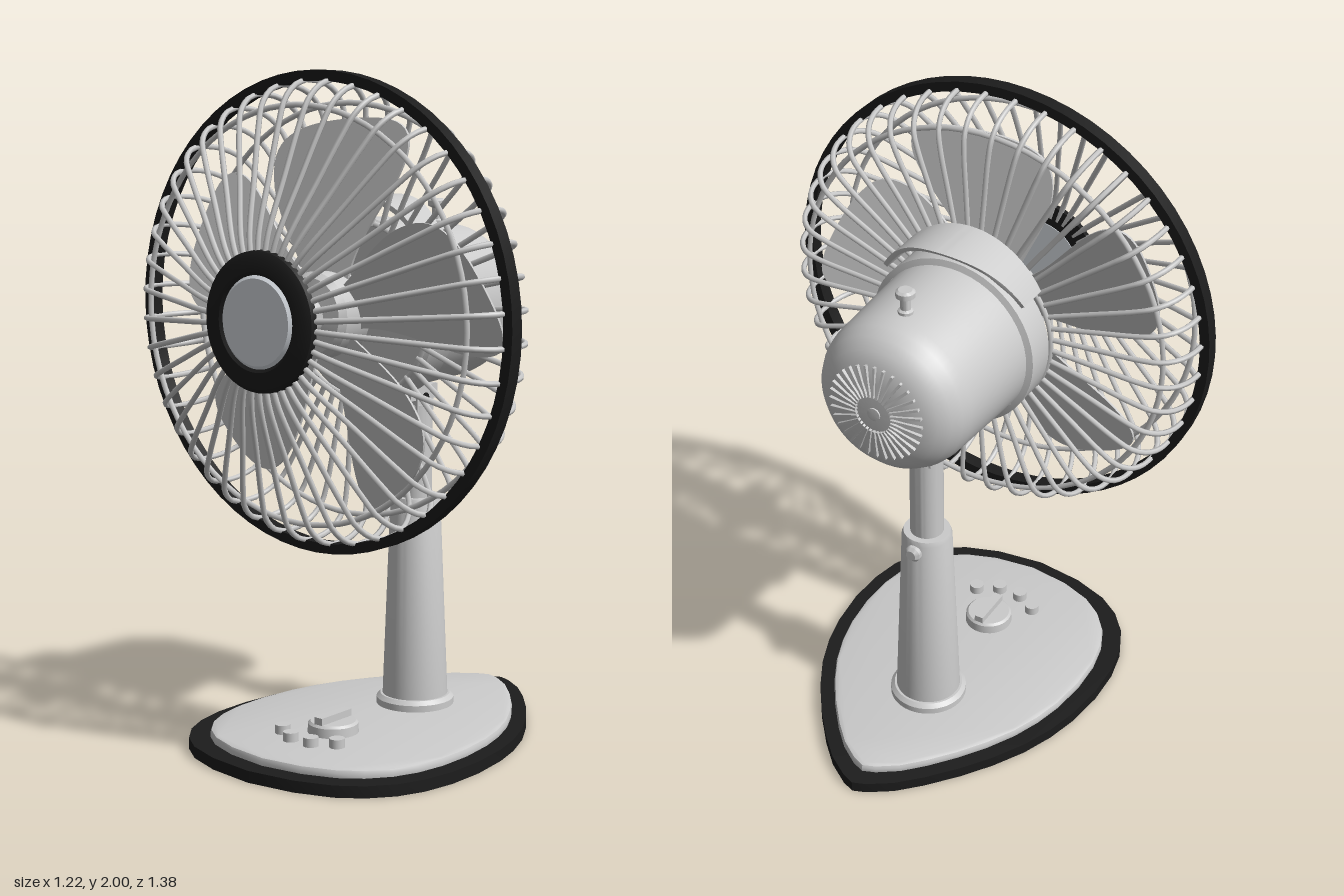
import * as THREE from 'three';
import { toCreasedNormals } from 'three/addons/utils/BufferGeometryUtils.js';

const grey = new THREE.MeshStandardMaterial({ color: 0xcccccc, side: THREE.DoubleSide });
const black = new THREE.MeshStandardMaterial({ color: 0x1c1c1c, side: THREE.DoubleSide });
const silver = new THREE.MeshStandardMaterial({ color: 0xdde2e8, side: THREE.DoubleSide });
const V2 = (p) => new THREE.Vector2(p[0], p[1]);

function add(parent, name, geo, mat = grey, x = 0, y = 0, z = 0) {
  const m = new THREE.Mesh(geo, mat);
  m.name = name;
  m.position.set(x, y, z);
  parent.add(m);
  return m;
}

// Solid of revolution from [radius, height] pairs, bottom to top
const lathe = (pts, seg = 48) => toCreasedNormals(new THREE.LatheGeometry(pts.map(V2), seg), 0.6);
// The same turned to lie along local z
const spin = (pts, seg) => lathe(pts, seg).rotateX(Math.PI / 2);
const extrude = (shape, depth, opts = {}) =>
  toCreasedNormals(new THREE.ExtrudeGeometry(shape, { depth, bevelEnabled: false, curveSegments: 32, ...opts }), 0.5);

function baseShape(sx, sz) {
  const half = [[0.61, 0], [0.595, 0.04], [0.547, 0.112], [0.48, 0.18], [0.39, 0.256], [0.3, 0.32], [0.2, 0.377],
    [0.1, 0.417], [0, 0.443], [-0.13, 0.459], [-0.25, 0.456], [-0.35, 0.436], [-0.43, 0.4], [-0.5, 0.342],
    [-0.55, 0.27], [-0.59, 0.155], [-0.61, 0]];
  const mirrored = half.slice(1, -1).reverse().map(([x, z]) => [x, -z]);
  return new THREE.Shape([...half, ...mirrored].map(([x, z]) => new THREE.Vector2(x * sx, z * sz)));
}

function buildStand(root) {
  const stand = new THREE.Group();
  stand.name = 'stand';
  root.add(stand);
  add(stand, 'baseRim', extrude(baseShape(1, 1), 0.035).rotateX(-Math.PI / 2), black);
  const bevel = { bevelEnabled: true, bevelThickness: 0.012, bevelSize: 0.012, bevelSegments: 2 };
  add(stand, 'baseTop', extrude(baseShape(0.885, 0.855), 0.018, bevel).rotateX(-Math.PI / 2), grey, 0, 0.03);

  // Telescopic column
  add(stand, 'columnFoot', lathe([[0, 0.05], [0.12, 0.05], [0.12, 0.08], [0.108, 0.092], [0, 0.092]]), grey, 0.153);
  add(stand, 'lowerColumn', lathe([[0.101, 0.09], [0.077, 0.7], [0.072, 0.715], [0, 0.715]]), grey, 0.153);
  add(stand, 'upperColumn', lathe([[0.051, 0.7], [0.051, 1.0], [0, 1.0]]), grey, 0.153);
  add(stand, 'heightKnob', lathe([[0.014, 0], [0.014, 0.02], [0.026, 0.025], [0.026, 0.04], [0.016, 0.05], [0, 0.05]], 24)
    .rotateZ(-Math.PI / 2), grey, 0.2, 0.675);

  // Tilting joint under the motor
  add(stand, 'tiltBlock', new THREE.BoxGeometry(0.13, 0.045, 0.066), grey, 0.153, 1.038);
  add(stand, 'tiltFork', new THREE.BoxGeometry(0.08, 0.08, 0.076), grey, 0.153, 1.02);
  add(stand, 'tiltScrew', new THREE.CylinderGeometry(0.014, 0.014, 0.084, 16).rotateX(Math.PI / 2), black, 0.153, 1.023);

  // Dial and buttons
  add(stand, 'dial', lathe([[0, 0.05], [0.077, 0.05], [0.075, 0.088], [0.068, 0.095], [0, 0.095]], 32), grey, -0.238);
  add(stand, 'dialGrip', new THREE.BoxGeometry(0.135, 0.025, 0.03), grey, -0.238, 0.104);
  for (const deg of [-45, -15, 15, 45]) {
    const a = (deg * Math.PI) / 180;
    add(stand, 'button', new THREE.CylinderGeometry(0.023, 0.023, 0.03, 20), grey,
      -0.238 - 0.15 * Math.cos(a), 0.072, 0.15 * Math.sin(a));
  }
}

function buildMotor(head) {
  add(head, 'motorCollar', spin([[0, -0.1], [0.258, -0.1], [0.268, -0.09], [0.268, 0.005], [0.25, 0.012]]));
  add(head, 'motorHousing', spin([[0.25, 0], [0.236, 0.3], [0.229, 0.335], [0.213, 0.368], [0.185, 0.397],
    [0.15, 0.414], [0.1, 0.424], [0.05, 0.428], [0, 0.428]], 64));

  // Radial vent ribs on the back
  for (let i = 0; i < 32; i++) {
    const rib = new THREE.BoxGeometry(0.095, 0.007, 0.012).rotateY(0.12).translate(0.103, 0, 0.425);
    add(head, 'ventRib', rib).rotation.z = (i / 32) * Math.PI * 2;
  }
  add(head, 'ventCap', spin([[0.02, 0.42], [0.02, 0.433], [0, 0.435]], 20));

  // Swing knob on top
  add(head, 'swingKnob', lathe([[0.022, 0.22], [0.022, 0.245], [0.015, 0.25], [0.015, 0.283], [0.028, 0.29],
    [0.028, 0.305], [0.02, 0.311], [0, 0.311]], 24), grey, 0, 0, 0.255);

  // Curved hand grip, its rear edge sweeping back toward the top
  const arc = new THREE.Shape();
  arc.absellipse(0, 0, 0.282, 0.332, 0.6, Math.PI - 0.6, false);
  arc.absellipse(0, 0, 0.268, 0.317, Math.PI - 0.6, 0.6, true);
  const geo = new THREE.ExtrudeGeometry(arc, { depth: 1, bevelEnabled: false, curveSegments: 28 });
  const p = geo.attributes.position;
  for (let i = 0; i < p.count; i++) {
    const t = Math.max(0, (p.getY(i) - 0.16) / 0.17);
    p.setZ(i, p.getZ(i) > 0.5 ? -0.01 + 0.055 * t + 0.027 * t ** 4 : -0.1);
  }
  add(head, 'handGrip', toCreasedNormals(geo, 0.5));
}

function buildBlades(head) {
  const rotor = new THREE.Group();
  rotor.name = 'rotor';
  head.add(rotor);
  add(rotor, 'hub', spin([[0, -0.4], [0.05, -0.4], [0.06, -0.385], [0.06, -0.345], [0.11, -0.335], [0.125, -0.315],
    [0.125, -0.215], [0.1, -0.205], [0.05, -0.2], [0.03, -0.19], [0.03, -0.1]], 40));

  const outline = new THREE.Shape();
  outline.moveTo(0.05, 0.09);
  outline.bezierCurveTo(0.08, 0.18, 0.135, 0.27, 0.145, 0.36);
  outline.bezierCurveTo(0.155, 0.47, 0.12, 0.52, 0, 0.545);
  outline.bezierCurveTo(-0.06, 0.555, -0.13, 0.56, -0.18, 0.555);
  outline.bezierCurveTo(-0.29, 0.545, -0.265, 0.46, -0.22, 0.38);
  outline.bezierCurveTo(-0.16, 0.28, -0.09, 0.2, -0.07, 0.09);
  const blade = new THREE.ExtrudeGeometry(outline, { depth: 0.008, bevelEnabled: false, curveSegments: 12 });
  // Pitch the blade across its width
  const p = blade.attributes.position;
  for (let i = 0; i < p.count; i++) p.setZ(i, p.getZ(i) - 0.27 - 0.28 * p.getX(i));
  const geo = toCreasedNormals(blade, 0.5);
  for (let i = 0; i < 5; i++) add(rotor, 'blade', geo).rotation.z = (-1 + i * 72) * Math.PI / 180;
}

function buildCage(head) {
  const cage = new THREE.Group();
  cage.name = 'cage';
  head.add(cage);
  const wire = (pts) => new THREE.TubeGeometry(
    new THREE.CatmullRomCurve3(pts.map(([r, z]) => new THREE.Vector3(0, r, z)), false, 'centripetal'), 24, 0.0085, 6);
  const front = wire([[0.15, -0.538], [0.24, -0.525], [0.4, -0.468], [0.545, -0.415], [0.61, -0.385], [0.65, -0.34], [0.667, -0.288]]);
  const rear = wire([[0.667, -0.288], [0.66, -0.22], [0.637, -0.17], [0.597, -0.138], [0.54, -0.128], [0.4, -0.125], [0.255, -0.122]]);
  const count = 44;
  for (let i = 0; i < count; i++) {
    const a = ((i + 0.5) / count) * Math.PI * 2;
    add(cage, 'frontWire', front).rotation.z = a;
    add(cage, 'rearWire', rear).rotation.z = a;
  }
  // Bracing hoops
  for (const [r, z] of [[0.595, -0.38], [0.6, -0.155], [0.26, -0.118]])
    add(cage, 'hoop', new THREE.TorusGeometry(r, 0.0085, 6, 72), grey, 0, 0, z);

  // Outer rim band
  const band = new THREE.Shape().absarc(0, 0, 0.692, 0, Math.PI * 2);
  band.holes.push(new THREE.Path().absarc(0, 0, 0.662, 0, Math.PI * 2, true));
  add(cage, 'rim', extrude(band, 0.044), black, 0, 0, -0.31);

  // Centre cap
  add(cage, 'capRing', spin([[0.13, -0.53], [0.13, -0.553], [0.14, -0.56], [0.18, -0.56], [0.198, -0.55], [0.2, -0.53], [0.13, -0.53]]), black);
  add(cage, 'capDisc', spin([[0, -0.561], [0.122, -0.561], [0.132, -0.553], [0.132, -0.528], [0, -0.528]]), silver);
}

export function createModel() {
  const root = new THREE.Group();
  root.name = 'deskFan';
  buildStand(root);

  // Head is built along local z, then turned so it blows toward -x
  const head = new THREE.Group();
  head.name = 'head';
  head.position.y = 1.308;
  head.rotation.y = Math.PI / 2;
  root.add(head);
  buildMotor(head);
  buildBlades(head);
  buildCage(head);
  return root;
}
